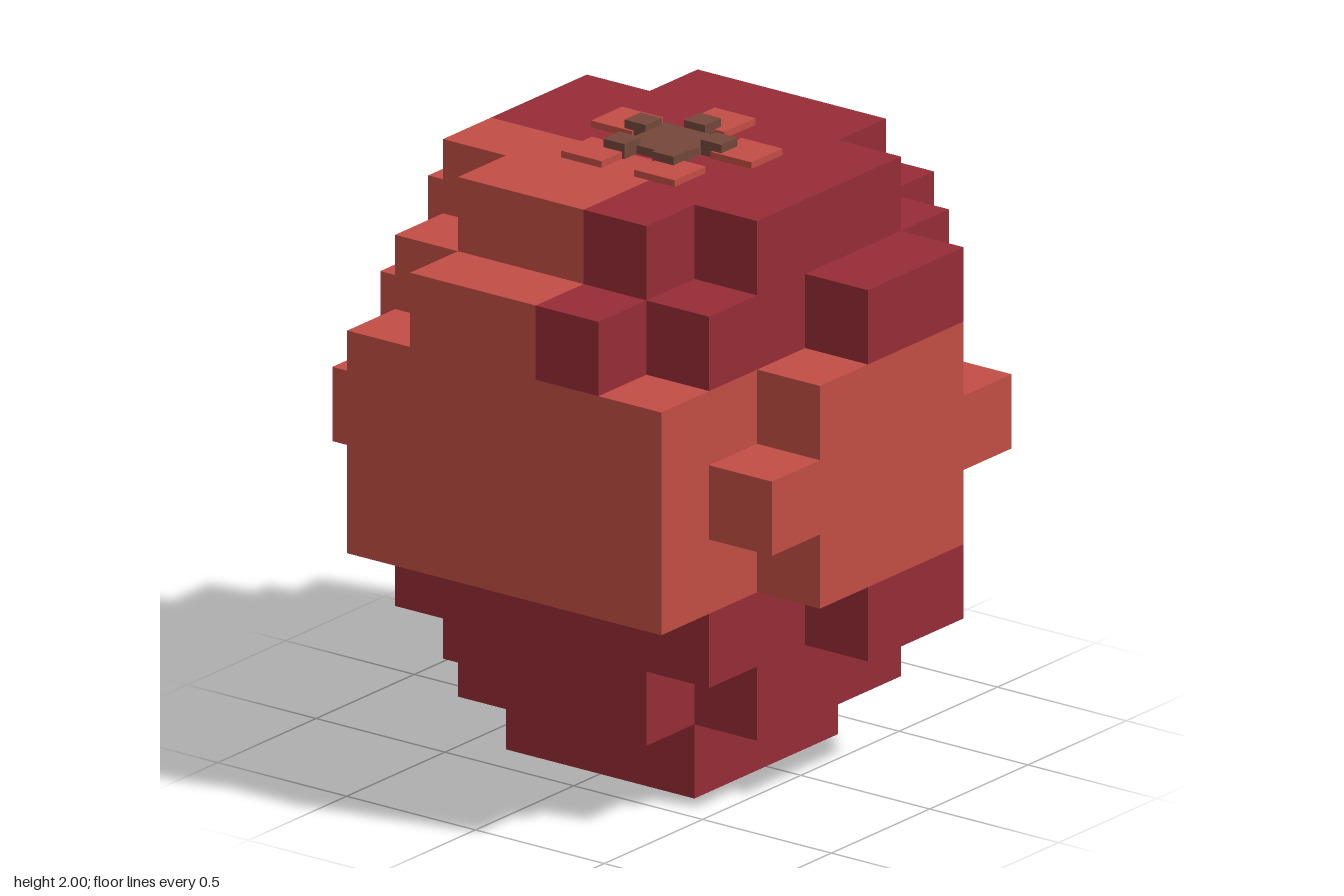
import * as THREE from 'three';
import { mergeGeometries } from 'three/addons/utils/BufferGeometryUtils.js';

const S = 0.2438; // edge of one block
const within = (v, a, b) => v >= a && v <= b;

// Stepped outline of the front and back plates, as [first, last] column per layer
const plateRows = { 2: [3, 4], 3: [2, 4], 4: [1, 5], 5: [2, 4], 6: [3, 4] };

// Is there a block at column x, layer y, row z (x and z run 0..6, y runs 0..7)
function solid(x, y, z) {
  if (y < 0 || y > 7) return false;
  // core: small foot, rounded corners at the lower and upper ends
  if (y === 0) return within(x, 2, 4) && within(z, 2, 4);
  if (within(x, 1, 5) && within(z, 1, 5)) {
    const corner = (x === 1 || x === 5) && (z === 1 || z === 5);
    return !(corner && (y === 1 || y === 7));
  }
  // front and back plates
  if (z === 0 || z === 6) return !!plateRows[y] && within(x, ...plateRows[y]);
  // left plate with a lower tab
  if (x === 6) return (within(y, 3, 6) && within(z, 2, 4)) || (y === 2 && z === 3);
  // right plate with a raised middle
  if (x === 0) return (within(y, 3, 5) && within(z, 1, 5)) || (y === 6 && within(z, 2, 4));
  return false;
}

// Dark rind covers three quarters of both ends, plus one stripe on the left plate
function isDark(x, y, z) {
  if (y <= 2) return !(x >= 3 && z < 4);
  if (y <= 5) return x === 6 && z === 4;
  return z > 0 && !(x < 3 && z < 4);
}

const sides = [[1, 0, 0], [-1, 0, 0], [0, 1, 0], [0, -1, 0], [0, 0, 1], [0, 0, -1]];

// Outer faces of the blocks in layers y0..y1 that have the given shade
function blockSkin(y0, y1, dark) {
  const faces = [];
  for (let y = y0; y <= y1; y++)
    for (let x = 0; x < 7; x++)
      for (let z = 0; z < 7; z++) {
        if (!solid(x, y, z) || isDark(x, y, z) !== dark) continue;
        for (const [dx, dy, dz] of sides) {
          if (solid(x + dx, y + dy, z + dz)) continue;
          const face = new THREE.PlaneGeometry(S, S).translate(0, 0, S / 2);
          if (dy) face.rotateX(-dy * Math.PI / 2);
          else face.rotateY(Math.atan2(dx, dz));
          faces.push(face.translate((x - 3) * S, (y + 0.5) * S, (z - 3) * S));
        }
      }
  return mergeGeometries(faces);
}

export function createModel() {
  const model = new THREE.Group();
  model.name = 'blockFruit';
  const mat = (name, color) => {
    const m = new THREE.MeshStandardMaterial({ color });
    m.name = name;
    return m;
  };
  const light = mat('lightRed', 0xc24e45);
  const dark = mat('darkRed', 0x962c35);
  const brown = mat('stemBrown', 0x73473a);

  const add = (name, geometry, material) => {
    const mesh = new THREE.Mesh(geometry, material);
    mesh.name = name;
    model.add(mesh);
    return mesh;
  };

  // Body in three bands, each split by shade
  for (const [name, y0, y1] of [['lowerBody', 0, 2], ['middleBody', 3, 5], ['upperBody', 6, 7]]) {
    add(name + 'Light', blockSkin(y0, y1, false), light);
    add(name + 'Dark', blockSkin(y0, y1, true), dark);
  }

  // Crown: five flat pads around a stem with five small nubs
  const top = 8 * S;
  const slab = (name, x, z, w, h, material) =>
    add(name, new THREE.BoxGeometry(w, h, w), material).position.set(x, top + h / 2, z);
  slab('stemCentre', 0, 0, 0.218, 0.028, brown);
  const ring = [
    { pad: [0.242, 0], nub: [0.155, 0] },
    { pad: [0.075, 0.232], nub: [0.046, 0.147] },
    { pad: [0.075, -0.232], nub: [0.046, -0.147] },
    { pad: [-0.197, 0.142], nub: [-0.13, 0.095] },
    { pad: [-0.197, -0.142], nub: [-0.13, -0.095] },
  ];
  for (const { pad, nub } of ring) {
    slab('crownPad', ...pad, 0.158, 0.022, light);
    slab('stemNub', ...nub, 0.082, 2 - top, brown);
  }
  return model;
}
